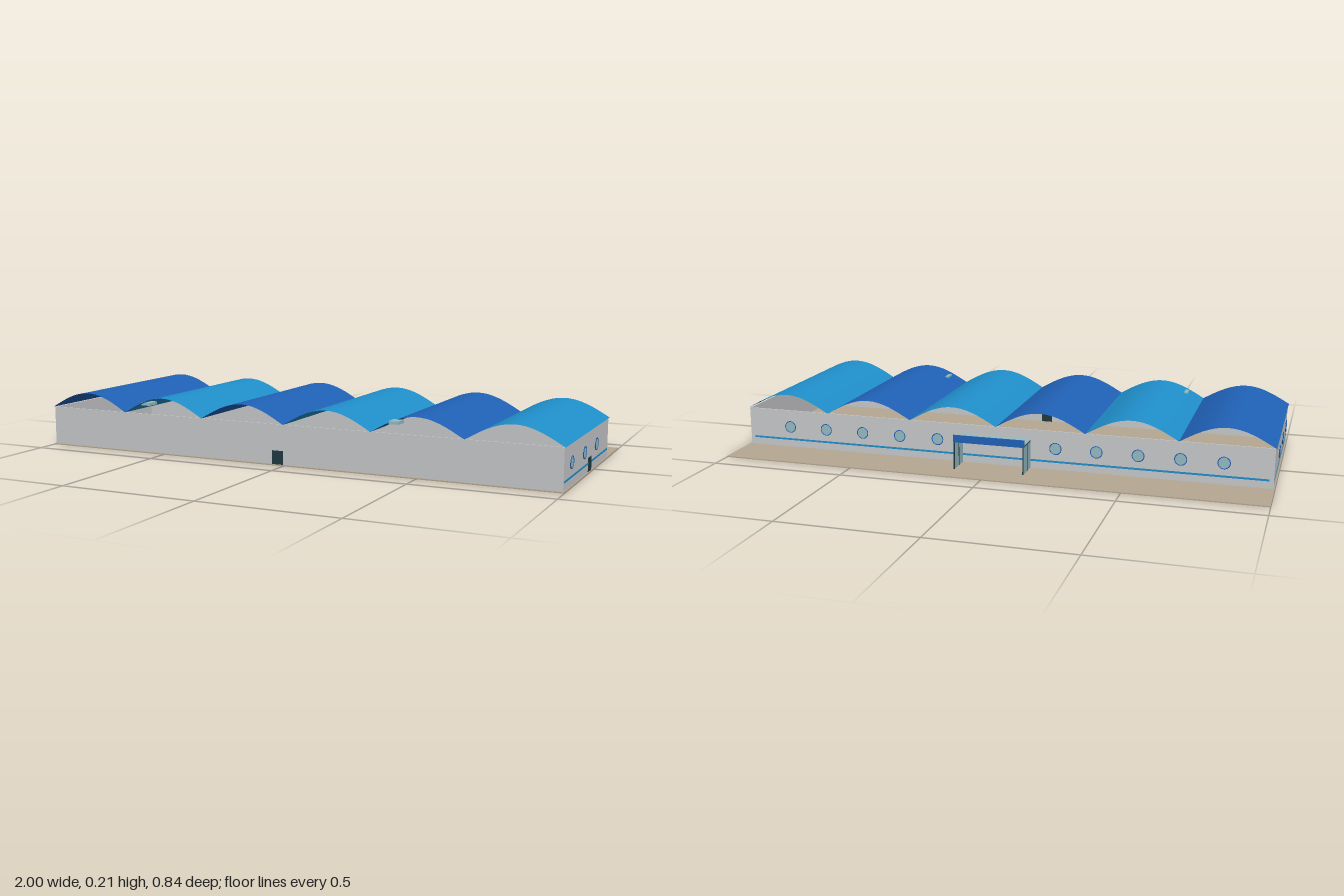
import * as THREE from 'three';

export function createModel() {
  const model = new THREE.Group();
  model.name = 'vaultedHall';
  const mat = (name, color, side = THREE.FrontSide) => {
    const m = new THREE.MeshStandardMaterial({ color, side });
    m.name = name;
    return m;
  };
  const wall = mat('paleGreyWall', 0xc8c9cb);
  const sand = mat('sandGround', 0xb5a892);
  const navy = mat('deepBlue', 0x2062b8, THREE.DoubleSide);
  const sky = mat('brightBlue', 0x2090cc, THREE.DoubleSide);
  const glass = mat('paleGlass', 0x96bcc2);
  const dark = mat('darkFrame', 0x203a40);

  const add = (parent, name, geometry, material) => {
    const mesh = new THREE.Mesh(geometry, material);
    mesh.name = name;
    parent.add(mesh);
    return mesh;
  };
  // Box given by its lower and upper limits on each axis
  const box = (name, material, [x0, x1], [y0, y1], [z0, z1], parent = model) => {
    const mesh = add(parent, name, new THREE.BoxGeometry(x1 - x0, y1 - y0, z1 - z0), material);
    mesh.position.set((x0 + x1) / 2, (y0 + y1) / 2, (z0 + z1) / 2);
    return mesh;
  };

  const back = -0.234, front = 0.412, eaves = 0.147, side = 0.996, t = 0.005;

  // Ground slab and four open-topped walls
  box('ground', sand, [-1, 1], [0, 0.004], [-0.418, 0.418]);
  box('frontWall', wall, [-side, side], [0.004, eaves], [front - t, front]);
  box('backWall', wall, [-side, side], [0.004, eaves], [back, back + t]);
  for (const s of [-1, 1]) {
    const x = [s * side, s * (side - t)].sort((a, b) => a - b);
    box(s > 0 ? 'leftWall' : 'rightWall', wall, x, [0.004, eaves], [back + t, front - t]);
  }

  // Six open-ended roof vaults in alternating blues
  const span = 2 / 6, segments = 20;
  for (let i = 0; i < 6; i++) {
    const sheet = new THREE.PlaneGeometry(span, front - back + 0.008, segments, 1);
    sheet.rotateX(-Math.PI / 2);
    const p = sheet.attributes.position;
    for (let k = 0; k < p.count; k++) p.setY(k, 0.062 * Math.cos(Math.PI * p.getX(k) / span));
    sheet.computeVertexNormals();
    add(model, 'roofVault', sheet, i % 2 ? sky : navy)
      .position.set(-1 + span * (i + 0.5), eaves, (front + back) / 2);
  }

  // Small vents breaking through the roof
  for (const x of [-0.613, 0.387]) box('roofVent', glass, [x, x + 0.037], [0.173, 0.184], [0.338, 0.386]);

  // Round windows: glass disc in a thin blue ring, facing +z before turning
  const disc = new THREE.CylinderGeometry(0.021, 0.021, 0.006, 32).rotateX(Math.PI / 2);
  const ring = new THREE.TorusGeometry(0.0212, 0.0016, 8, 32);
  const roundWindow = (x, z, turn) => {
    const g = new THREE.Group();
    g.name = 'roundWindow';
    add(g, 'windowGlass', disc, glass);
    add(g, 'windowRing', ring, navy).position.z = 0.003;
    g.position.set(x, 0.083, z);
    g.rotation.y = turn;
    model.add(g);
  };
  for (const s of [-1, 1]) {
    for (let i = 0; i < 5; i++) roundWindow(s * (0.225 + 0.15 * i), back, Math.PI);
    for (const z of [0.318, 0.139, -0.04]) roundWindow(s * side, z, s * Math.PI / 2);
    // Stripe along each side wall
    box('sideStripe', sky, [s * side - 0.001, s * side + 0.001], [0.03, 0.037], [-0.225, 0.406]);
  }
  box('backStripe', sky, [-0.98, 0.98], [0.03, 0.037], [back - 0.001, back + 0.001]);

  // Plain doors on the front and left walls
  box('frontDoor', dark, [-0.045, -0.002], [0.004, 0.053], [front - 0.008, front + 0.002]);
  box('sideDoor', dark, [side - 0.008, side + 0.002], [0.004, 0.053], [0.031, 0.075]);

  // Glazed entrance porch with canopy and signboard
  const porch = new THREE.Group();
  porch.name = 'entrancePorch';
  model.add(porch);
  const porchFront = -0.328;
  box('canopy', glass, [-0.132, 0.13], [0.106, 0.112], [porchFront, back], porch);
  box('signboard', navy, [-0.136, 0.13], [0.106, 0.133], [-0.334, -0.33], porch);
  for (const x of [-0.13, 0.128]) {
    box('porchSideGlass', glass, [x - 0.001, x + 0.001], [0.004, 0.106], [porchFront, back], porch);
    for (const z of [porchFront, -0.28])
      box('porchPost', dark, [x - 0.002, x + 0.002], [0.004, 0.106], [z - 0.001, z + 0.003], porch);
    box('canopyEdge', dark, [x - 0.002, x + 0.002], [0.104, 0.107], [porchFront, back], porch);
  }
  return model;
}
